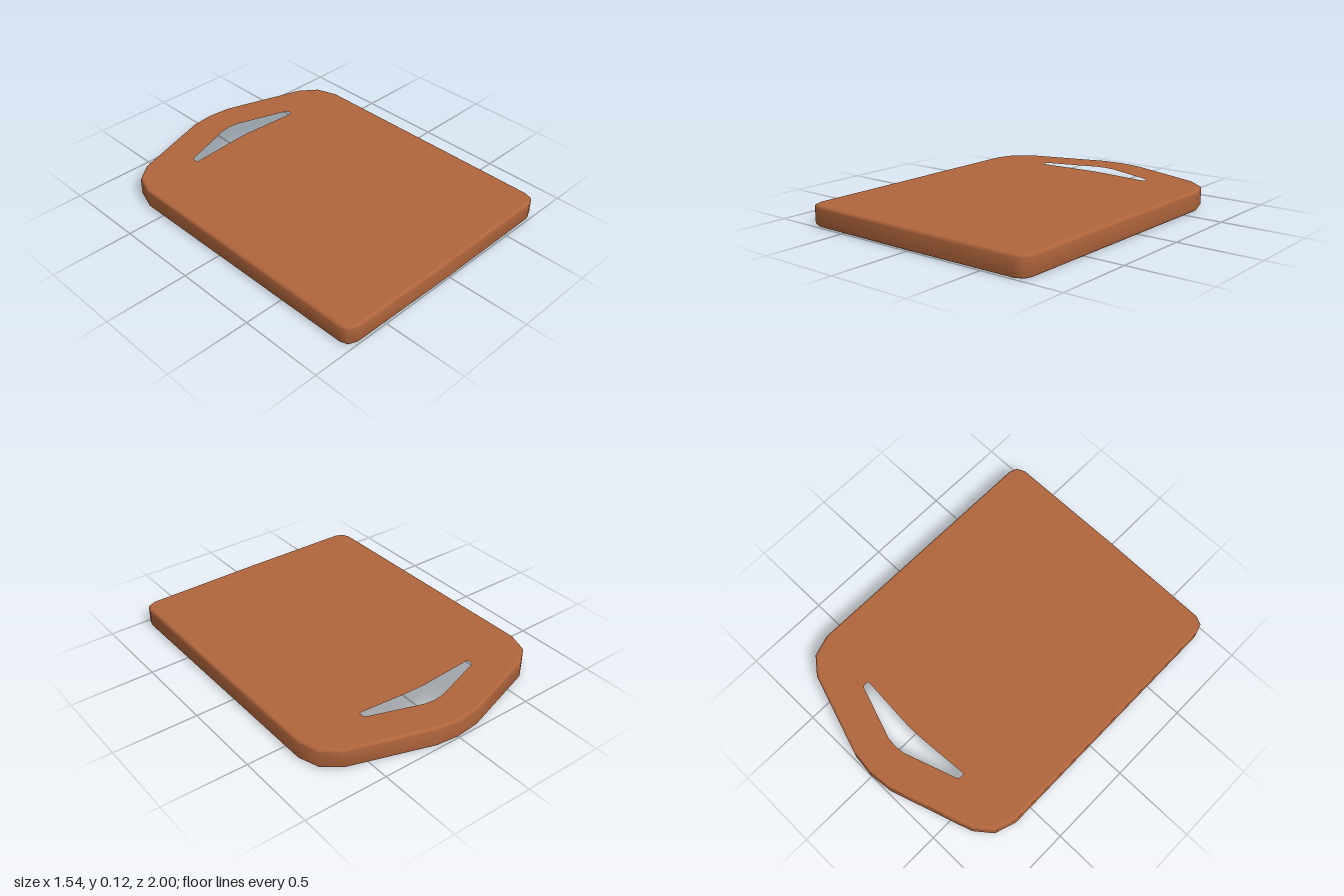
import * as THREE from 'three';
import { toCreasedNormals } from 'three/addons/utils/BufferGeometryUtils.js';

const HEIGHT = 0.125;
const BEVEL = 0.018;

// Mirror a half outline, given as [x, z] from back to front, into a closed loop
function mirrored(half) {
  const other = half.filter(([x]) => x > 0).reverse().map(([x, z]) => [-x, z]);
  return [...half, ...other].map(([x, z]) => new THREE.Vector2(x, -z));
}

export function createModel() {
  const group = new THREE.Group();
  group.name = 'cuttingBoard';

  // Board outline: peaked handle end at the back, small rounded corners in front
  const shape = new THREE.Shape(mirrored([
    [0, -1], [0.14, -0.985], [0.63, -0.825], [0.73, -0.745], [0.772, -0.62],
    [0.768, 0.925], [0.752, 0.972], [0.7, 0.995], [0, 1],
  ]));

  // Peaked grip slot
  shape.holes.push(new THREE.Path(mirrored([
    [0, -0.817], [0.065, -0.81], [0.385, -0.702], [0.403, -0.685], [0.407, -0.66],
    [0.405, -0.637], [0.385, -0.624], [0.07, -0.646], [0, -0.648],
  ])));

  let geometry = new THREE.ExtrudeGeometry(shape, {
    depth: HEIGHT - 2 * BEVEL,
    bevelEnabled: true,
    bevelThickness: BEVEL,
    bevelSize: BEVEL,
    bevelOffset: -BEVEL,
    bevelSegments: 4,
  });
  geometry.rotateX(-Math.PI / 2);
  geometry.translate(0, BEVEL, 0);
  geometry = toCreasedNormals(geometry, 0.9);

  // Keep the top and bottom faces shaded flat up to the rounded rim
  const { position, normal } = geometry.attributes;
  for (let i = 0; i < position.count; i++) {
    const y = position.getY(i);
    if (y > HEIGHT - 1e-4) normal.setXYZ(i, 0, 1, 0);
    else if (y < 1e-4) normal.setXYZ(i, 0, -1, 0);
  }

  const board = new THREE.Mesh(geometry, new THREE.MeshStandardMaterial({ color: 0xb0653c }));
  board.name = 'board';
  group.add(board);
  return group;
}
